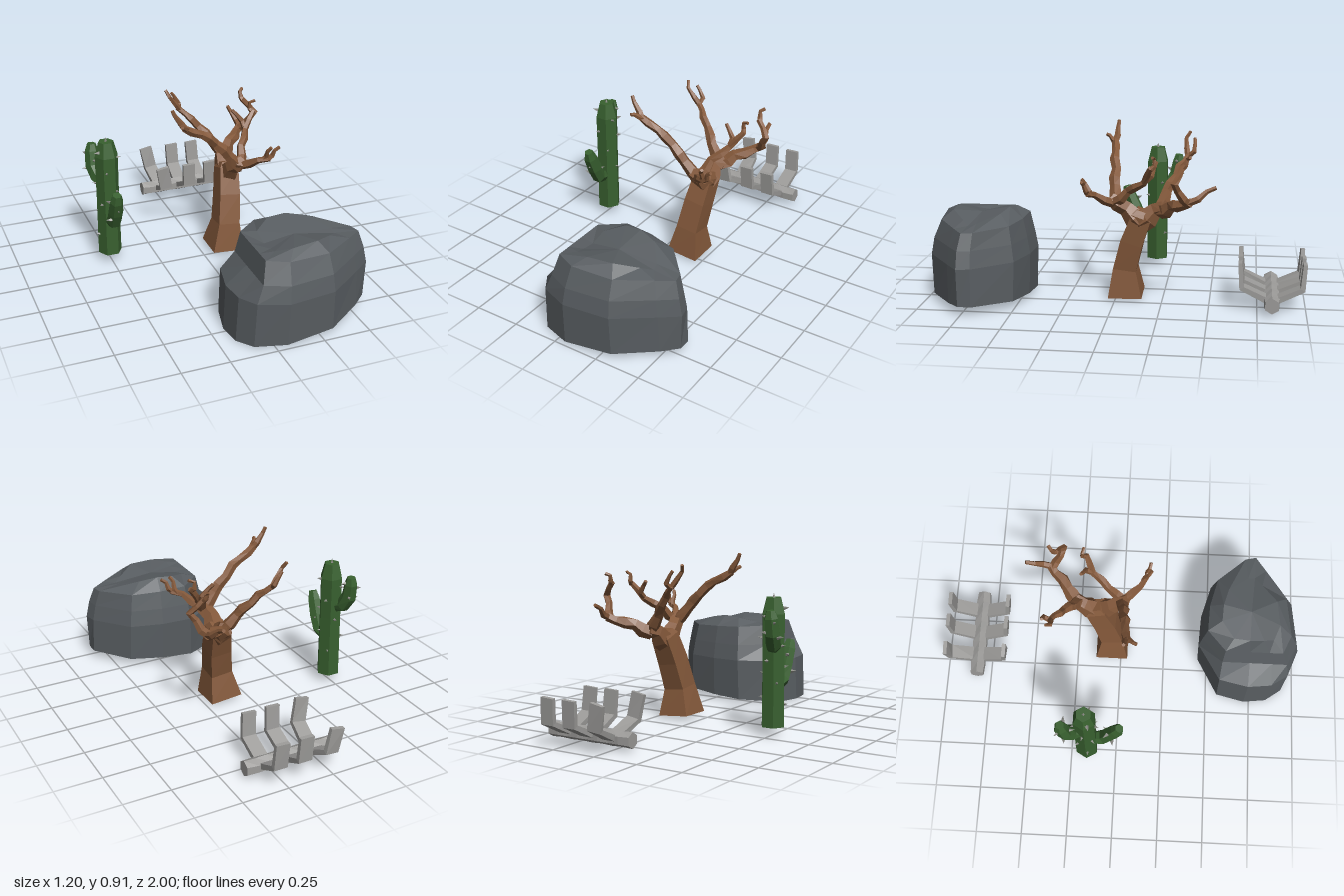
import * as THREE from 'three';

const mat = (name, color) => Object.assign(new THREE.MeshStandardMaterial({ color }), { name });
const V = (x, y, z) => new THREE.Vector3(x, y, z);
const X = V(1, 0, 0), Y = V(0, 1, 0);

// Faceted skin over rings of points, each counterclockwise seen from the last ring
function loft(rings) {
  const n = rings[0].length, pos = [];
  const tri = (...p) => p.forEach(q => pos.push(q.x, q.y, q.z));
  const mid = r => r.reduce((s, p) => s.add(p), V(0, 0, 0)).divideScalar(n);
  const first = rings[0], last = rings[rings.length - 1];
  const c0 = mid(first), c1 = mid(last);
  for (let i = 0; i < n; i++) {
    const j = (i + 1) % n;
    for (let k = 0; k + 1 < rings.length; k++) {
      const a = rings[k], b = rings[k + 1];
      tri(a[i], a[j], b[j]);
      tri(a[i], b[j], b[i]);
    }
    tri(c0, first[j], first[i]);
    tri(c1, last[i], last[j]);
  }
  const g = new THREE.BufferGeometry();
  g.setAttribute('position', new THREE.Float32BufferAttribute(pos, 3));
  g.computeVertexNormals();
  return g;
}

// Bent bar through points; sizes give [radius along ref, radius across]
function limb(pts, sizes, sides, ref = X, phase = 0) {
  return loft(pts.map((p, k) => {
    const t = V(0, 0, 0);
    if (k > 0) t.add(p.clone().sub(pts[k - 1]).normalize());
    if (k < pts.length - 1) t.add(pts[k + 1].clone().sub(p).normalize());
    t.normalize();
    const u = ref.clone().addScaledVector(t, -ref.dot(t)).normalize();
    const v = t.clone().cross(u);
    const [ru, rv] = sizes[k];
    return Array.from({ length: sides }, (_, i) => {
      const a = phase + i / sides * Math.PI * 2;
      return p.clone().addScaledVector(u, ru * Math.cos(a)).addScaledVector(v, rv * Math.sin(a));
    });
  }));
}

const round = radii => radii.map(r => [r, r]);

function add(parent, name, geometry, material) {
  const m = new THREE.Mesh(geometry, material);
  m.name = name;
  parent.add(m);
  return m;
}

function group(parent, name) {
  const g = new THREE.Group();
  g.name = name;
  parent.add(g);
  return g;
}

function buildBoulder(root, stone) {
  // Widest outline; the other rings are shrunk copies, cut off on the left
  const outline = [V(-.165, .25, .72), V(-.15, .25, .85), V(-.09, .25, .94), V(.06, .25, .997),
    V(.31, .25, .967), V(.5, .25, .83), V(.592, .25, .76), V(.577, .25, .69),
    V(.42, .25, .5), V(.24, .25, .45), V(.07, .25, .44), V(-.13, .25, .56)];
  const ring = (minX, sx, cz, sz, height) => outline.map(p => {
    const x = Math.max(minX, .2 + (p.x - .2) * sx), z = cz + (p.z - cz) * sz;
    return V(x, height(x, z), z);
  });
  add(root, 'boulder', loft([
    ring(-.185, 1.03, .72, .97, x => .002 + .05 * (x + .185) / .77).map(p => p.setX(Math.min(p.x, .585))),
    outline,
    ring(-.055, .95, .7, .94, () => .34),
    ring(-.03, .88, .65, .82, x => .45 - .04 * (x + .03)),
    ring(.04, .55, .7, .57, (x, z) => .457 + .25 * Math.abs(z - .73) - .12 * Math.abs(x - .23)),
  ]), stone);
}

function buildTree(root, bark) {
  const tree = group(root, 'deadTree');
  add(tree, 'trunk', limb(
    [V(.135, .02, -.052), V(.148, .17, -.05), V(.168, .32, -.088), V(.185, .46, -.14), V(.187, .49, -.15)],
    round([.127, .087, .083, .075, .05]), 4, X, Math.PI / 4), bark);

  // Tapered branch along a curve, with kinks and knots at every second joint
  function branch(name, r0, r1, ...path) {
    const curve = new THREE.CatmullRomCurve3(path);
    const steps = Math.max(3, Math.round(curve.getLength() / .055));
    const pts = curve.getSpacedPoints(steps);
    pts.forEach((p, k) => {
      if (k > 0 && k < steps) p.add(V(Math.sin(k * 2.4), Math.sin(k * 4.1), Math.cos(k * 2.4)).multiplyScalar(.006));
    });
    const radii = pts.map((_, k) => (r0 + (r1 - r0) * k / steps) * (k % 2 ? 1.1 : .95));
    add(tree, name, limb(pts, round(radii), 5), bark);
  }

  branch('frontLimb', .06, .032, V(.18, .42, -.13), V(.19, .49, -.06), V(.2, .56, .025));
  branch('longBranch', .034, .02, V(.21, .51, 0), V(.02, .72, .02), V(-.13, .81, .04));
  branch('longBranchTip', .02, .009, V(-.12, .8, .04), V(-.16, .86, .03), V(-.188, .91, .025));
  branch('longBranchTwig', .017, .009, V(-.11, .8, .035), V(-.155, .835, .09));
  branch('rightBranch', .028, .014, V(.21, .53, .01), V(.265, .62, -.1), V(.33, .69, -.18), V(.37, .75, -.2));
  branch('rightTip', .014, .008, V(.365, .74, -.2), V(.35, .775, -.22), V(.385, .805, -.21));
  branch('rightTwig', .017, .009, V(.305, .67, -.17), V(.295, .71, -.2), V(.25, .76, -.22));
  branch('frontRightBranch', .027, .014, V(.21, .53, .01), V(.26, .57, .08), V(.33, .6, .13));
  branch('frontRightTip', .015, .009, V(.32, .6, .13), V(.375, .67, .15));
  branch('frontRightTwig', .015, .009, V(.3, .59, .11), V(.325, .675, .155));

  branch('backLimb', .062, .04, V(.18, .42, -.13), V(.19, .48, -.2), V(.21, .51, -.26));
  branch('backLeftBranch', .034, .014, V(.2, .5, -.23), V(.09, .65, -.3), V(-.02, .76, -.37));
  branch('backLeftTip', .017, .008, V(-.01, .75, -.365), V(-.06, .82, -.35), V(-.087, .87, -.375));
  branch('backLeftTwig', .015, .008, V(-.01, .75, -.37), V(-.01, .79, -.4), V(-.045, .84, -.4));
  branch('backRightBranch', .042, .022, V(.2, .49, -.24), V(.28, .535, -.31), V(.375, .58, -.4));
  branch('backRightTwig', .02, .01, V(.37, .575, -.39), V(.365, .615, -.46), V(.352, .655, -.53));
  branch('hookBranch', .024, .014, V(.36, .57, -.39), V(.415, .64, -.34), V(.43, .69, -.33), V(.37, .76, -.36));
  branch('hookTip', .015, .009, V(.375, .75, -.36), V(.365, .78, -.375), V(.385, .81, -.4));
}

function buildCactus(root, green, thorn) {
  const cactus = group(root, 'cactus');
  add(cactus, 'stem', limb([.05, .4, .63, .712].map(y => V(-.5, y, -.163)),
    round([.065, .063, .064, .042]), 6), green);
  const armRadii = round([.034, .041, .042, .037, .024]);
  add(cactus, 'frontArm', limb([V(-.5, .26, -.12), V(-.497, .28, -.065), V(-.497, .35, -.03),
    V(-.5, .43, .005), V(-.5, .475, .02)], armRadii, 6), green);
  add(cactus, 'backArm', limb([V(-.51, .46, -.18), V(-.535, .48, -.23), V(-.55, .54, -.265),
    V(-.55, .62, -.28), V(-.548, .66, -.283)], armRadii, 6), green);

  // Thorns spiral up each limb
  const cone = new THREE.ConeGeometry(.012, .034, 4).toNonIndexed();
  cone.computeVertexNormals();
  function thorns(x, z, radius, y0, y1, count) {
    for (let i = 0; i < count; i++) {
      const a = i * 2.4 + 3, dir = V(Math.cos(a), .15, Math.sin(a)).normalize();
      const m = add(cactus, 'thorn', cone, thorn);
      m.quaternion.setFromUnitVectors(Y, dir);
      m.position.set(x, y0 + (y1 - y0) * i / (count - 1), z).addScaledVector(dir, radius);
    }
  }
  thorns(-.5, -.163, .064, .16, .65, 14);
  thorns(-.497, -.025, .044, .31, .4, 4);
  thorns(-.55, -.272, .045, .52, .62, 5);
  add(cactus, 'topThorn', cone, thorn).position.set(-.5, .718, -.163);
}

function buildBones(root, bone) {
  const bones = group(root, 'ribcage');
  // Spine swells at every second joint
  const joints = Array.from({ length: 9 }, (_, i) => i);
  add(bones, 'spine', limb(joints.map(i => V(-.1 + i * .0625, .058, -.825)),
    joints.map(i => i % 2 ? [.039, .046] : [.042, .04]), 6, Y), bone);
  const w = .053, ribSizes = [[w, .022], [w, .02], [w, .015]];
  for (const [x, tipX] of [[.02, -.018], [.152, .152], [.29, .285]]) for (const s of [-1, 1]) {
    const path = [V(x, .06, -.825 + s * .02), V((x + tipX) / 2 + .005, .125, -.825 + s * .155),
      V(tipX, .255, -.825 + s * .165)];
    add(bones, 'rib', limb(path, ribSizes, 4, X, Math.PI / 4), bone);
  }
}

export function createModel() {
  const root = new THREE.Group();
  root.name = 'desertProps';
  buildBoulder(root, mat('slate stone', 0x585d61));
  buildTree(root, mat('dry bark', 0x83583a));
  buildCactus(root, mat('cactus green', 0x38602f), mat('thorn grey', 0x8a8a84));
  buildBones(root, mat('old bone', 0x9c9b99));
  return root;
}
